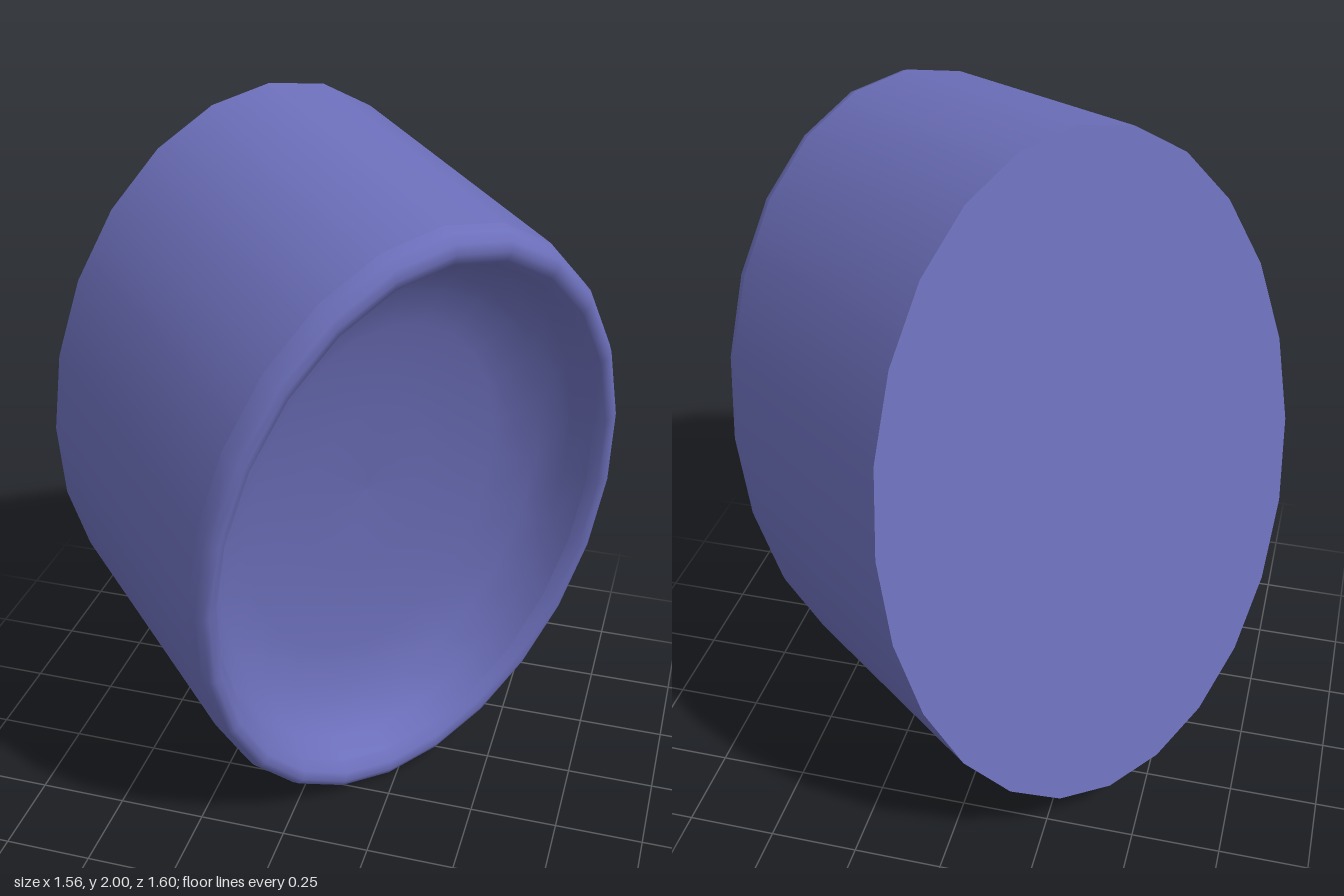
import * as THREE from 'three';

const SIDES = 24;

export function createModel() {
  const group = new THREE.Group();
  group.name = 'ovalCup';
  const material = new THREE.MeshStandardMaterial({ color: 0x6c6fba });

  // Slanted frame: the oval's two half axes, and the cup's axis from base to mouth
  const halfWidth = new THREE.Vector3(0.45, 0.015, -0.475);
  const halfHeight = new THREE.Vector3(-0.1, -0.937, -0.14);
  const axis = new THREE.Vector3(0.715, -0.142, 0.68);
  const frame = new THREE.Matrix4()
    .makeBasis(halfWidth, axis, halfHeight)
    .setPosition(-0.32, 1.061, -0.305);

  // Profiles of [radius, distance along the axis]
  const parts = {
    // Flat closed end
    base: [[0, 0], [1, 0]],
    // Straight outer wall
    wall: [[1, 0], [1, 0.855]],
    // Rounded lip
    rim: [[1, 0.855], [0.993, 0.885], [0.975, 0.908], [0.95, 0.917], [0.92, 0.91], [0.895, 0.88]],
    // Shallow dished inside
    dish: [[0.895, 0.88], [0.86, 0.81], [0.78, 0.735], [0.6, 0.68], [0.3, 0.65], [0, 0.64]],
  };

  for (const [name, profile] of Object.entries(parts)) {
    const points = profile.map(([r, h]) => new THREE.Vector2(r, h));
    const geometry = new THREE.LatheGeometry(points, SIDES).applyMatrix4(frame);
    const mesh = new THREE.Mesh(geometry, material);
    mesh.name = name;
    group.add(mesh);
  }
  return group;
}
